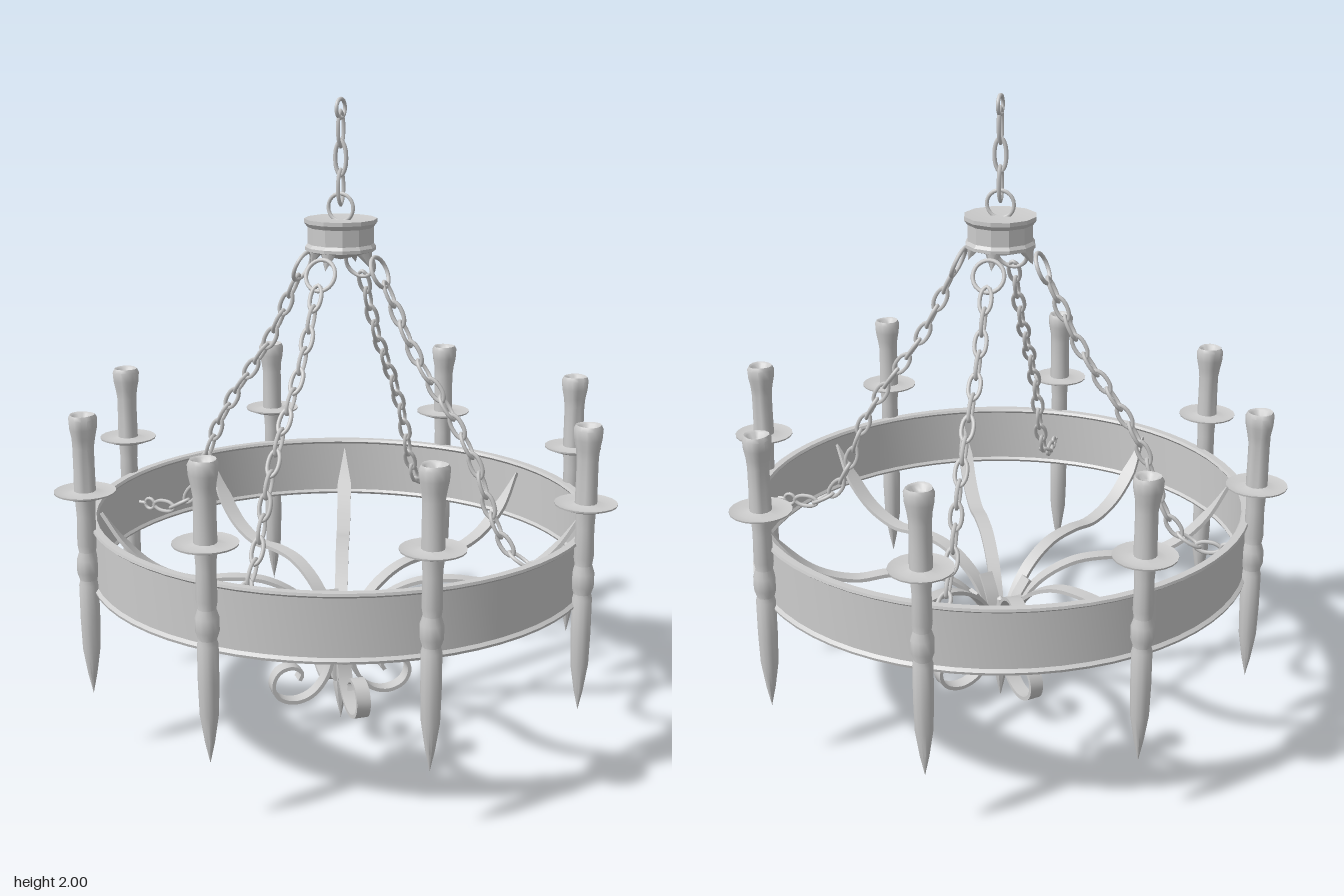
import * as THREE from 'three';
import { mergeGeometries, toCreasedNormals } from 'three/addons/utils/BufferGeometryUtils.js';

const material = new THREE.MeshStandardMaterial({ color: 0xcccccc, side: THREE.DoubleSide });

function part(name, geometry, parent) {
  const mesh = new THREE.Mesh(geometry, material);
  mesh.name = name;
  parent.add(mesh);
  return mesh;
}

// Turned shape from [radius, y] pairs, listed bottom to top along the outside
function turned(profile, segments, crease = 0.6) {
  const points = profile.map(([r, y]) => new THREE.Vector2(r, y));
  return toCreasedNormals(new THREE.LatheGeometry(points, segments), crease);
}

// Flat bar following a path in the x-y plane; width runs along z
function ribbon(path, steps, thickness, widthAt) {
  const curve = new THREE.CatmullRomCurve3(path.map(([x, y]) => new THREE.Vector3(x, y, 0)));
  const positions = [], index = [];
  for (let i = 0; i <= steps; i++) {
    const t = i / steps, p = curve.getPointAt(t), d = curve.getTangentAt(t);
    const nx = -d.y * thickness / 2, ny = d.x * thickness / 2, w = widthAt(t) / 2;
    for (const [s, z] of [[1, w], [1, -w], [-1, -w], [-1, w]]) {
      positions.push(p.x + s * nx, p.y + s * ny, z);
    }
    if (i === 0) continue;
    const a = (i - 1) * 4, b = i * 4;
    for (let k = 0; k < 4; k++) {
      const n = (k + 1) % 4;
      index.push(a + k, b + k, b + n, a + k, b + n, a + n);
    }
  }
  const e = steps * 4;
  index.push(0, 1, 2, 0, 2, 3, e, e + 2, e + 1, e, e + 3, e + 2);
  const g = new THREE.BufferGeometry();
  g.setAttribute('position', new THREE.Float32BufferAttribute(positions, 3));
  g.setIndex(index);
  return toCreasedNormals(g, 0.7);
}

// One oval wire link, long axis along y
function linkGeometry(length, width, wire) {
  const h = length / 2, w = width / 2;
  const pts = [[0, h], [w, h * 0.55], [w, -h * 0.55], [0, -h], [-w, -h * 0.55], [-w, h * 0.55]];
  const curve = new THREE.CatmullRomCurve3(pts.map(([x, y]) => new THREE.Vector3(x, y, 0)), true);
  return new THREE.TubeGeometry(curve, 20, wire, 6, true);
}

// Links spaced along a path in the x-y plane, every other one turned a quarter
function chain(path, count, length) {
  const curve = new THREE.CatmullRomCurve3(path.map(([x, y]) => new THREE.Vector3(x, y, 0)));
  const links = [], across = new THREE.Vector3(0, 0, 1);
  for (let i = 0; i < count; i++) {
    const t = (i + 0.5) / count, p = curve.getPointAt(t), along = curve.getTangentAt(t);
    const side = new THREE.Vector3().crossVectors(along, across);
    const m = i % 2
      ? new THREE.Matrix4().makeBasis(side, along, across)
      : new THREE.Matrix4().makeBasis(across, along, side.clone().negate());
    links.push(linkGeometry(length, 0.03, 0.0065).applyMatrix4(m.setPosition(p)));
  }
  return mergeGeometries(links);
}

export function createModel() {
  const model = new THREE.Group();
  model.name = 'chandelier';

  // Hoop band with thickened lips at both edges
  part('hoop', turned([
    [0.765, 0.53], [0.788, 0.53], [0.79, 0.538], [0.78, 0.546], [0.78, 0.719],
    [0.79, 0.727], [0.788, 0.735], [0.765, 0.735], [0.76, 0.727], [0.767, 0.719],
    [0.767, 0.546], [0.76, 0.538], [0.765, 0.53]], 64), model);

  // Torch holders, drip pans and candles
  const holder = turned([
    [0, 0.2], [0.014, 0.265], [0.027, 0.35], [0.03, 0.45], [0.03, 0.56], [0.026, 0.575],
    [0.034, 0.6], [0.034, 0.64], [0.026, 0.665], [0.03, 0.69], [0.028, 0.78], [0.032, 0.845]], 12);
  const pan = turned([
    [0.025, 0.838], [0.06, 0.84], [0.092, 0.852], [0.093, 0.857], [0.06, 0.85], [0.03, 0.858]], 20);
  const candle = turned([
    [0.033, 0.85], [0.032, 0.93], [0.032, 0.99], [0.035, 1.02], [0.041, 1.05], [0.043, 1.08],
    [0.037, 1.092], [0.028, 1.088], [0.02, 1.074], [0, 1.07]], 14, 0.9);
  // Melted wax unevenness
  const wax = candle.attributes.position;
  for (let i = 0; i < wax.count; i++) {
    const x = wax.getX(i), z = wax.getZ(i), a = Math.atan2(z, x);
    const k = wax.getY(i) > 1 ? 1 + 0.06 * Math.sin(3 * a) : 1;
    wax.setX(i, x * k);
    wax.setZ(i, z * k);
  }
  for (let i = 0; i < 8; i++) {
    const light = new THREE.Group();
    light.name = 'candleHolder';
    part('holderSpike', holder, light);
    part('dripPan', pan, light);
    part('candle', candle, light);
    const a = i * Math.PI / 4;
    light.position.set(0.805 * Math.sin(a), 0, 0.805 * Math.cos(a));
    light.rotation.y = a;
    model.add(light);
  }

  // Curved arms from the centre to the hoop, ending in leaf points
  const arm = ribbon([
    [0.018, 0.14], [0.03, 0.25], [0.065, 0.34], [0.13, 0.42], [0.24, 0.477], [0.36, 0.487],
    [0.47, 0.478], [0.59, 0.515], [0.69, 0.6], [0.762, 0.7]], 40, 0.012,
  t => (t > 0.86 ? 0.05 * (1 - t) / 0.14 + 0.002 : 0.038 + 0.012 * t));
  // Scrolls under the centre
  const scroll = ribbon([
    [0.1, 0.41], [0.055, 0.34], [0.03, 0.25], [0.05, 0.16], [0.1, 0.1], [0.16, 0.083],
    [0.215, 0.105], [0.232, 0.15], [0.21, 0.193], [0.165, 0.203], [0.135, 0.18],
    [0.145, 0.158]], 48, 0.012, () => 0.045);
  for (let q = 0; q < 4; q++) {
    const quarter = q * Math.PI / 2;
    for (const degrees of [26, 64]) {
      part('arm', arm, model).rotation.y = quarter + degrees * Math.PI / 180;
    }
    part('scroll', scroll, model).rotation.y = quarter + Math.PI / 4;
  }

  // Centre spike
  part('centreSpike', turned([
    [0, 0], [0.014, 0.06], [0.026, 0.125], [0.02, 0.19], [0.014, 0.26], [0.012, 0.36], [0, 0.37]], 8), model);

  // Ceiling cap with flared rims and shallow underside
  part('cap', turned([
    [0, 1.515], [0.06, 1.53], [0.108, 1.545], [0.108, 1.555], [0.101, 1.565], [0.101, 1.615],
    [0.111, 1.628], [0.111, 1.64], [0.1, 1.638], [0, 1.636]], 12, 0.4), model);

  // Four suspension sets: lug, ring, chain and eye on the hoop
  const chainGeometry = chain([
    [0.15, 1.45], [0.254, 1.24], [0.385, 1.05], [0.46, 0.915], [0.52, 0.757],
    [0.575, 0.67], [0.64, 0.633], [0.7, 0.63]], 16, 0.082);
  for (let q = 0; q < 4; q++) {
    const set = new THREE.Group();
    set.name = 'suspension';
    const lug = part('lug', new THREE.ConeGeometry(0.028, 0.06, 6), set);
    lug.position.set(0.09, 1.52, 0);
    lug.rotation.z = Math.PI + 0.4;
    const ring = part('ring', new THREE.TorusGeometry(0.048, 0.0065, 8, 24), set);
    ring.rotation.set(0, Math.PI / 2, 0.4, 'ZYX');
    ring.position.set(0.132, 1.485, 0);
    part('chain', chainGeometry, set);
    const eye = part('hoopEye', new THREE.TorusGeometry(0.018, 0.006, 6, 16), set);
    eye.position.set(0.725, 0.63, 0);
    const pin = part('eyePin', new THREE.CylinderGeometry(0.006, 0.006, 0.03, 8), set);
    pin.rotation.z = Math.PI / 2;
    pin.position.set(0.754, 0.63, 0);
    set.rotation.y = q * Math.PI / 2;
    model.add(set);
  }

  // Ceiling chain: lower ring, links and top ring
  part('lowerRing', new THREE.TorusGeometry(0.042, 0.006, 8, 24), model).position.y = 1.672;
  part('ceilingChain', chain([[0, 1.95], [0, 1.82], [0, 1.69]], 3, 0.105), model);
  const topRing = part('topRing', new THREE.TorusGeometry(0.028, 0.006, 8, 24), model);
  topRing.rotation.y = Math.PI / 2;
  topRing.position.y = 1.966;

  return model;
}
